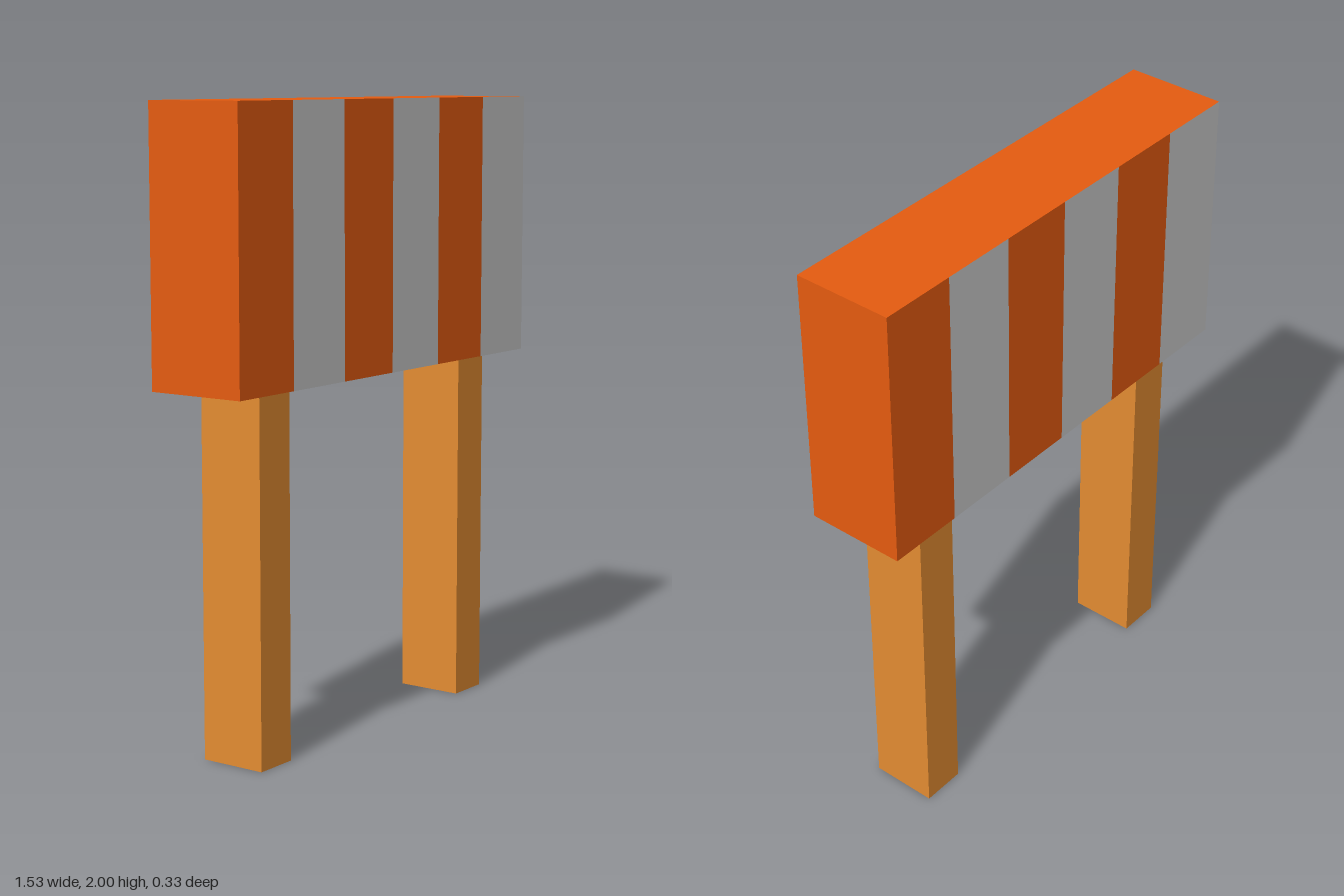
import * as THREE from 'three';

const W = 1.53, H = 0.85, D = 0.33, LEG_H = 1.15, STRIPES = 6;

export function createModel() {
  const group = new THREE.Group();
  const orange = new THREE.MeshStandardMaterial({ color: 0xe75c10 });
  const grey = new THREE.MeshStandardMaterial({ color: 0xcccccc });
  const wood = new THREE.MeshStandardMaterial({ color: 0xe58d32 });

  const add = (parent, name, geometry, material, x = 0, y = 0, z = 0) => {
    const mesh = new THREE.Mesh(geometry, material);
    mesh.name = name;
    mesh.position.set(x, y, z);
    parent.add(mesh);
    return mesh;
  };

  // Barrier board: orange rim, striped front and back
  const board = new THREE.Group();
  board.name = 'board';
  board.position.y = LEG_H + H / 2;
  group.add(board);

  add(board, 'boardTop', new THREE.PlaneGeometry(W, D), orange, 0, H / 2, 0).rotation.x = -Math.PI / 2;
  add(board, 'boardBottom', new THREE.PlaneGeometry(W, D), orange, 0, -H / 2, 0).rotation.x = Math.PI / 2;
  for (const s of [-1, 1]) {
    add(board, s > 0 ? 'boardLeftEnd' : 'boardRightEnd',
      new THREE.PlaneGeometry(D, H), orange, s * W / 2, 0, 0).rotation.y = s * Math.PI / 2;
  }

  // Stripes alternate from each face's own left edge, so the back is the front turned half round
  const stripeW = W / STRIPES;
  for (const side of ['front', 'back']) {
    const face = new THREE.Group();
    face.name = side + 'Stripes';
    if (side === 'back') face.rotation.y = Math.PI;
    board.add(face);
    for (let i = 0; i < STRIPES; i++) {
      add(face, side + 'Stripe' + (i + 1), new THREE.PlaneGeometry(stripeW, H),
        i % 2 ? grey : orange, -W / 2 + (i + 0.5) * stripeW, 0, D / 2);
    }
  }

  // Two wooden posts
  for (const s of [-1, 1]) {
    add(group, s > 0 ? 'leftLeg' : 'rightLeg',
      new THREE.BoxGeometry(0.145, LEG_H, 0.22), wood, s * 0.533, LEG_H / 2, 0);
  }
  return group;
}
